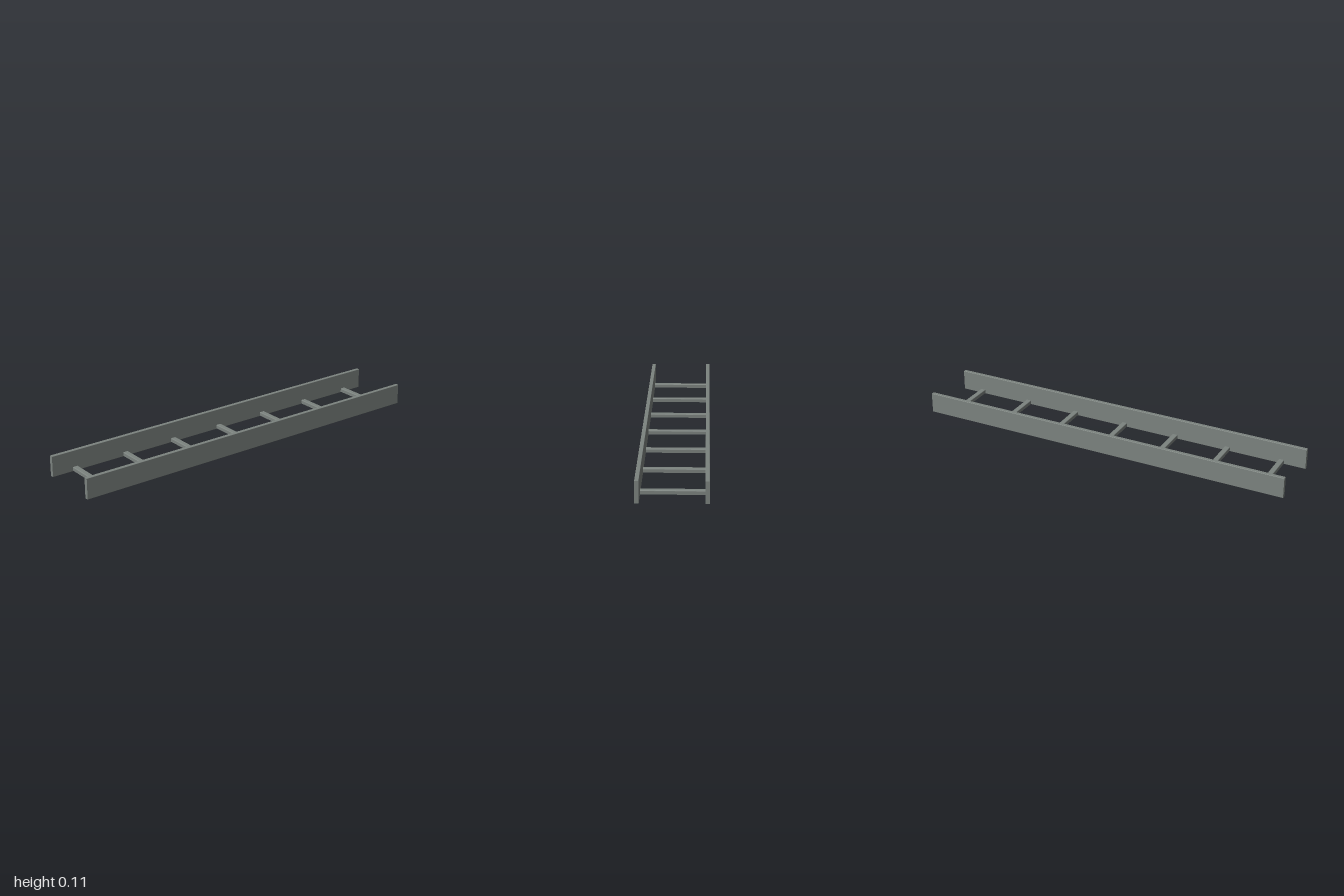
import * as THREE from 'three';

const LENGTH = 2, RAIL_W = 0.02, RAIL_H = 0.108, HALF_W = 0.168;
const RUNG_COUNT = 7, RUNG_STEP = 0.292, RUNG_W = 0.028, RUNG_H = 0.02, RUNG_Y = 0.003;

// Rectangle centred on x, standing on y = 0, with separate top and bottom corner radii
function barShape(w, h, rTop, rBottom) {
  const s = new THREE.Shape();
  const x = w / 2;
  s.moveTo(-x + rBottom, 0);
  s.lineTo(x - rBottom, 0);
  if (rBottom) s.absarc(x - rBottom, rBottom, rBottom, -Math.PI / 2, 0);
  s.lineTo(x, h - rTop);
  s.absarc(x - rTop, h - rTop, rTop, 0, Math.PI / 2);
  s.lineTo(-x + rTop, h);
  s.absarc(-x + rTop, h - rTop, rTop, Math.PI / 2, Math.PI);
  s.lineTo(-x, rBottom);
  if (rBottom) s.absarc(-x + rBottom, rBottom, rBottom, Math.PI, Math.PI * 1.5);
  return s;
}

// Bar extruded along z and centred on z = 0
function bar(shape, length) {
  const g = new THREE.ExtrudeGeometry(shape, { depth: length, bevelEnabled: false, curveSegments: 4 });
  return g.translate(0, 0, -length / 2);
}

export function createModel() {
  const model = new THREE.Group();
  model.name = 'ladder';
  const metal = new THREE.MeshStandardMaterial({ color: 0x7c837f });

  // Side rails with slightly eased edges
  const railGeo = bar(barShape(RAIL_W, RAIL_H, 0.002, 0.002), LENGTH);
  for (const side of [-1, 1]) {
    const rail = new THREE.Mesh(railGeo, metal);
    rail.name = side > 0 ? 'leftRail' : 'rightRail';
    rail.position.x = side * (HALF_W - RAIL_W / 2);
    model.add(rail);
  }

  // Rungs near the bottom of the rails, rounded on top and flat below
  const rungGeo = bar(barShape(RUNG_W, RUNG_H, 0.004, 0), 2 * (HALF_W - RAIL_W)).rotateY(Math.PI / 2);
  for (let i = 0; i < RUNG_COUNT; i++) {
    const rung = new THREE.Mesh(rungGeo, metal);
    rung.name = `rung${i + 1}`;
    rung.position.set(0, RUNG_Y, (i - (RUNG_COUNT - 1) / 2) * RUNG_STEP - 0.003);
    model.add(rung);
  }
  return model;
}
